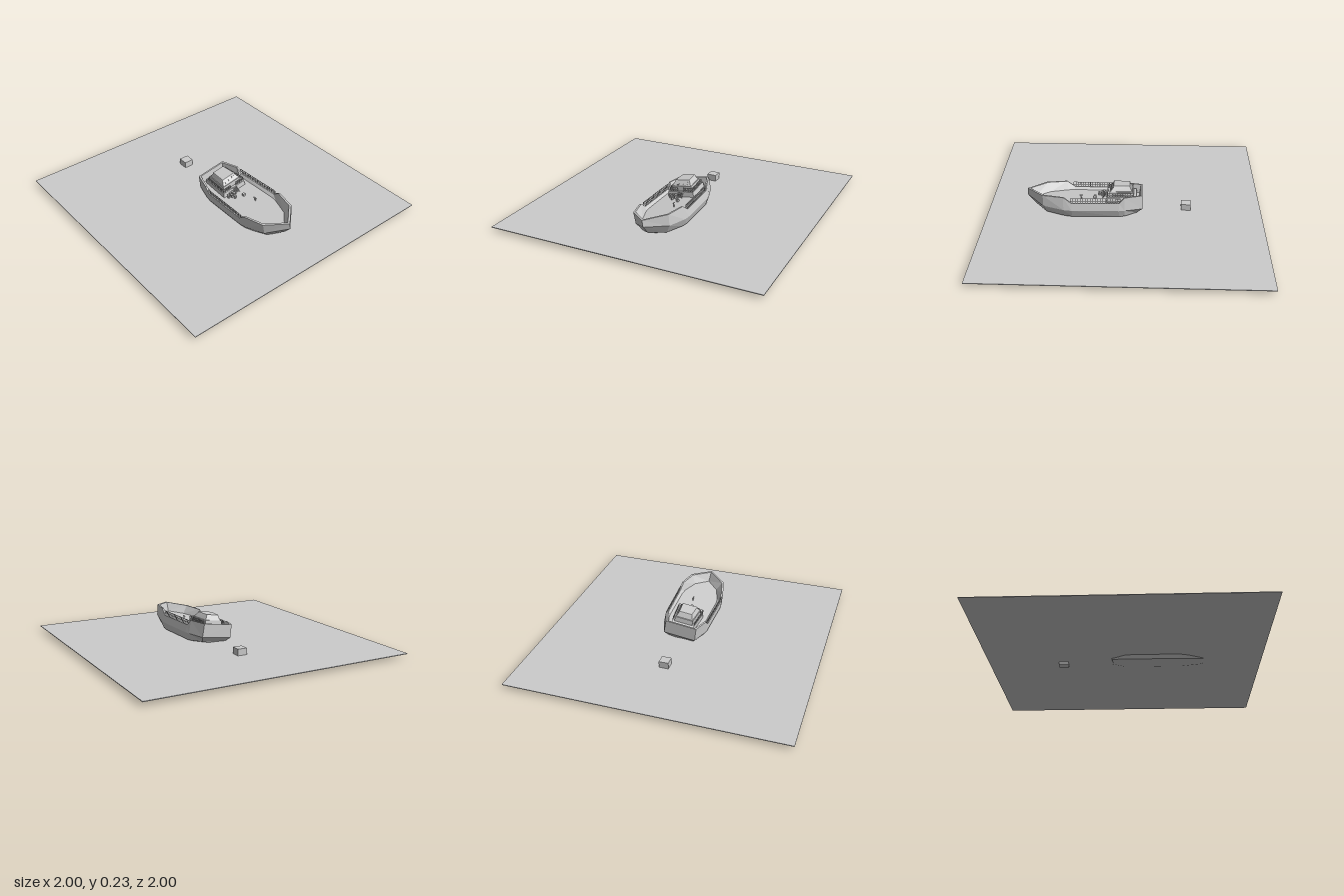
import * as THREE from 'three';

const grey = new THREE.MeshStandardMaterial({ color: 0xcccccc, flatShading: true });
const thin = new THREE.MeshStandardMaterial({ color: 0xcccccc, flatShading: true, side: THREE.DoubleSide });

function add(parent, name, geometry, x = 0, y = 0, z = 0, material = grey) {
  const mesh = new THREE.Mesh(geometry, material);
  mesh.name = name;
  mesh.position.set(x, y, z);
  parent.add(mesh);
  return mesh;
}

// Bar of square section between two points
function bar(parent, name, a, b, t) {
  const d = new THREE.Vector3().subVectors(b, a);
  const mesh = add(parent, name, new THREE.BoxGeometry(t, d.length(), t));
  mesh.position.addVectors(a, b).multiplyScalar(0.5);
  mesh.quaternion.setFromUnitVectors(new THREE.Vector3(0, 1, 0), d.normalize());
}

// Railing with evenly spaced posts and two rails
function railing(parent, name, a, b, count, height) {
  const group = new THREE.Group();
  group.name = name;
  parent.add(group);
  const up = (p, h) => p.clone().setY(p.y + h);
  for (let i = 0; i <= count; i++) {
    const p = a.clone().lerp(b, i / count);
    bar(group, 'post', p, up(p, height), 0.004);
  }
  for (const h of [height * 0.5, height]) bar(group, 'rail', up(a, h), up(b, h), 0.003);
}

// Hull lofted from stern to bow; each level lists x, half width and height per station
function hullGeometry() {
  const X = [-0.13, 0, 0.04, 0.38, 0.44, 0.59, 0.715];
  const sheer = [0.17, 0.168, 0.127, 0.127, 0.17, 0.172, 0.174];
  const levels = [
    { x: [-0.085, 0, 0.04, 0.38, 0.44, 0.56, 0.61], w: [0, 0, 0, 0, 0, 0, 0], y: [0.018, 0, 0, 0, 0.002, 0.015, 0.035] },
    { x: [-0.09, 0, 0.04, 0.38, 0.43, 0.57, 0.66], w: [0.09, 0.135, 0.142, 0.148, 0.14, 0.09, 0], y: [0.03, 0.018, 0.016, 0.016, 0.018, 0.03, 0.06] },
    { x: [-0.13, 0, 0.04, 0.38, 0.44, 0.59, 0.715], w: [0.118, 0.16, 0.167, 0.177, 0.172, 0.13, 0], y: [0.07, 0.07, 0.07, 0.072, 0.075, 0.09, 0.125] },
    { x: X, w: [0.115, 0.155, 0.161, 0.172, 0.168, 0.135, 0], y: sheer },
    { x: [-0.118, 0.002, 0.04, 0.38, 0.437, 0.58, 0.695], w: [0.104, 0.143, 0.149, 0.16, 0.156, 0.122, 0], y: sheer },
    { x: [-0.108, 0.004, 0.04, 0.38, 0.43, 0.56, 0.655], w: [0.092, 0.128, 0.133, 0.139, 0.132, 0.09, 0], y: X.map(() => 0.11) },
    { x: [-0.108, 0.004, 0.04, 0.38, 0.43, 0.56, 0.655], w: X.map(() => 0), y: X.map(() => 0.11) },
  ];
  const point = (k, s, side) => [levels[k].x[s], levels[k].y[s], side * levels[k].w[s]];
  const pos = [];
  const quad = (a, b, c, d) => pos.push(...a, ...b, ...c, ...a, ...c, ...d);
  for (let k = 0; k < levels.length - 1; k++) {
    for (let s = 0; s < X.length - 1; s++) {
      quad(point(k, s, 1), point(k, s + 1, 1), point(k + 1, s + 1, 1), point(k + 1, s, 1));
      quad(point(k, s, -1), point(k + 1, s, -1), point(k + 1, s + 1, -1), point(k, s + 1, -1));
    }
    // Transom, stern rim and inner stern wall
    if (k < 5) quad(point(k, 0, -1), point(k, 0, 1), point(k + 1, 0, 1), point(k + 1, 0, -1));
  }
  const g = new THREE.BufferGeometry();
  g.setAttribute('position', new THREE.Float32BufferAttribute(pos, 3));
  g.computeVertexNormals();
  return g;
}

// Tapered block: bottom and top rectangles [aft x, fore x, aft half width, fore half width]
function taper(bottom, top, height) {
  const g = new THREE.BoxGeometry(1, height, 1);
  const p = g.attributes.position;
  for (let i = 0; i < p.count; i++) {
    const [aft, fore, wa, wf] = p.getY(i) > 0 ? top : bottom;
    const isFore = p.getX(i) > 0;
    p.setX(i, isFore ? fore : aft);
    p.setZ(i, Math.sign(p.getZ(i)) * (isFore ? wf : wa));
    p.setY(i, p.getY(i) + height / 2);
  }
  g.computeVertexNormals();
  return g;
}

export function createModel() {
  const model = new THREE.Group();
  model.name = 'boatScene';
  const V = (x, y, z) => new THREE.Vector3(x, y, z);

  // Water and floating crate
  add(model, 'water', new THREE.BoxGeometry(2, 0.005, 2), 0, 0.03, 0);
  add(model, 'crate', new THREE.BoxGeometry(0.07, 0.07, 0.07), -0.45, 0.045, -0.025);

  // Boat, heeled over towards +z
  const boat = new THREE.Group();
  boat.name = 'boat';
  boat.position.set(0, 0.005, -0.042);
  boat.rotation.set(0.14, 0.02, 0);
  model.add(boat);
  add(boat, 'hull', hullGeometry(), 0, 0, 0, thin);

  // Cabin: platform, walls, sloped upper part and roof edge
  add(boat, 'cabinPlatform', taper([-0.09, 0.135, 0.085, 0.102], [-0.085, 0.13, 0.082, 0.098], 0.036), 0, 0.11, 0);
  add(boat, 'cabinWalls', taper([-0.065, 0.112, 0.068, 0.082], [-0.06, 0.11, 0.067, 0.08], 0.036), 0, 0.146, 0);
  add(boat, 'wheelhouse', taper([-0.052, 0.105, 0.062, 0.074], [-0.035, 0.078, 0.048, 0.055], 0.033), 0, 0.182, 0);
  add(boat, 'roof', taper([-0.04, 0.084, 0.051, 0.059], [-0.036, 0.08, 0.048, 0.055], 0.005), 0, 0.215, 0);

  // Front windows
  for (const z of [-0.033, 0, 0.033]) {
    const pane = add(boat, 'window', new THREE.BoxGeometry(0.004, 0.024, 0.025), 0.0925, 0.198, z);
    pane.rotation.z = 0.68;
  }

  // Railings in the bulwark gaps and round the cabin platform
  for (const side of [-1, 1]) {
    railing(boat, 'sideRailing', V(0.03, 0.127, side * 0.155), V(0.39, 0.127, side * 0.166), 20, 0.034);
    railing(boat, 'cabinRailing', V(-0.06, 0.146, side * 0.082), V(0.126, 0.146, side * 0.095), 10, 0.03);
    railing(boat, 'foreRailing', V(0.126, 0.146, side * 0.095), V(0.126, 0.146, side * 0.025), 4, 0.03);
  }

  // Ladder from the platform to the deck
  for (const z of [-0.02, 0.012]) bar(boat, 'ladderSide', V(0.132, 0.15, z), V(0.165, 0.11, z), 0.004);
  for (let i = 1; i < 5; i++) {
    add(boat, 'ladderStep', new THREE.BoxGeometry(0.007, 0.003, 0.032), 0.132 + i * 0.0066, 0.15 - i * 0.008, -0.004);
  }

  // Barrels and small deck fittings
  for (const [x, z] of [[0.147, 0.03], [0.168, 0.03], [0.19, 0.044], [0.147, 0.053], [0.168, 0.055], [0.155, 0.075]]) {
    add(boat, 'barrel', new THREE.CylinderGeometry(0.01, 0.01, 0.026, 6), x, 0.123, z);
  }
  add(boat, 'hatch', new THREE.BoxGeometry(0.018, 0.02, 0.018), 0.22, 0.12, -0.015);
  add(boat, 'bollard', new THREE.CylinderGeometry(0.004, 0.004, 0.03, 6), 0.32, 0.125, -0.035);
  add(boat, 'bollardBar', new THREE.BoxGeometry(0.028, 0.004, 0.005), 0.32, 0.138, -0.035);
  return model;
}
